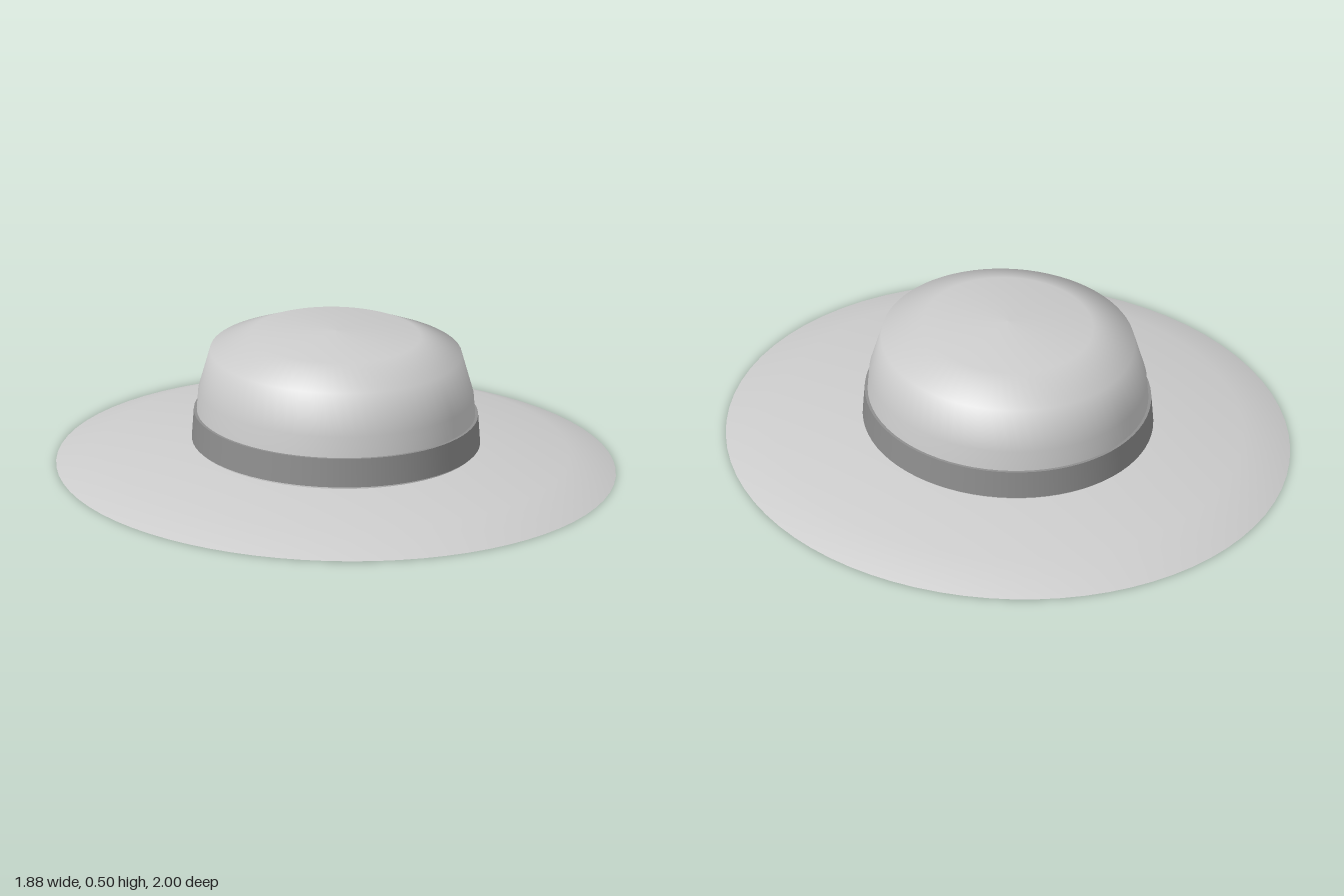
import * as THREE from 'three';

const SEGMENTS = 72;
const WIDTH_RATIO = 0.942; // the hat is a little narrower than it is long

const feltGrey = new THREE.MeshStandardMaterial({ color: 0xcccccc, side: THREE.DoubleSide });
feltGrey.name = 'feltGrey';
const ribbonGrey = new THREE.MeshStandardMaterial({ color: 0x8e8e8e, side: THREE.DoubleSide });
ribbonGrey.name = 'ribbonGrey';

// Oval shell turned from a [radius, height] profile, listed from bottom to top
function ovalShell(name, profile, material) {
  const points = profile.map(([r, y]) => new THREE.Vector2(r, y));
  const geometry = new THREE.LatheGeometry(points, SEGMENTS);
  geometry.scale(WIDTH_RATIO, 1, 1);
  const mesh = new THREE.Mesh(geometry, material);
  mesh.name = name;
  return mesh;
}

export function createModel() {
  const hat = new THREE.Group();
  hat.name = 'hat';

  // Thin sloping brim, open in the middle
  hat.add(ovalShell('brim', [[1, 0], [0.835, 0.062], [0.506, 0.096]], feltGrey));

  // Hollow domed crown
  hat.add(ovalShell('crown', [
    [0.506, 0.096], [0.492, 0.28], [0.45, 0.426], [0.302, 0.487], [0, 0.504],
  ], feltGrey));

  // Ribbon around the foot of the crown, with its narrow upper and lower edges
  const band = new THREE.Group();
  band.name = 'hatBand';
  band.add(
    ovalShell('bandFace', [[0.515, 0.104], [0.508, 0.206]], ribbonGrey),
    ovalShell('bandTopEdge', [[0.508, 0.206], [0.497, 0.206]], ribbonGrey),
    ovalShell('bandBottomEdge', [[0.505, 0.104], [0.515, 0.104]], ribbonGrey),
  );
  hat.add(band);

  return hat;
}
